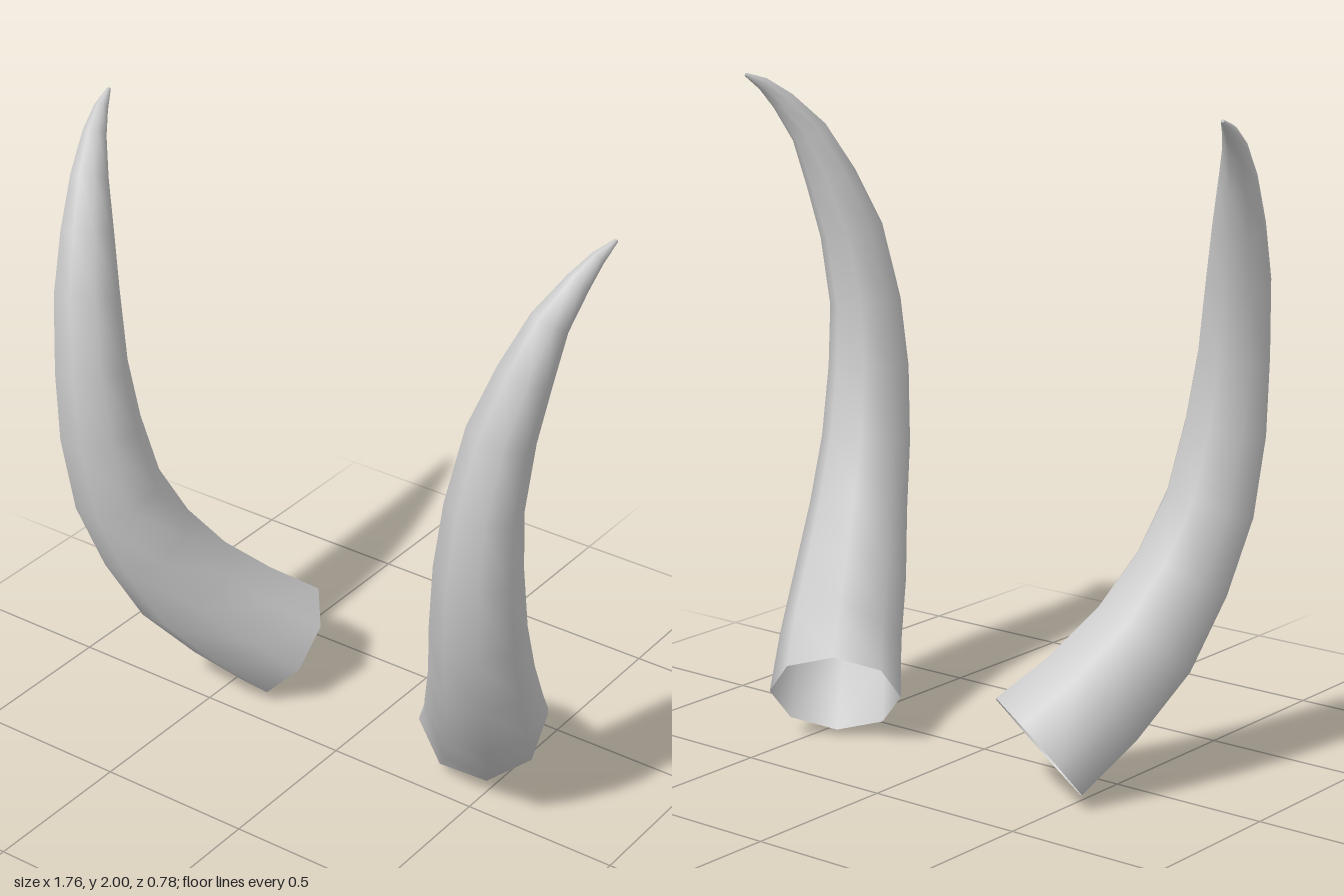
import * as THREE from 'three';

const SIDES = 8;

// Stations along one horn, root to tip: centre x, y, z and radius
const STATIONS = [
  [0.39, 0.16, -0.238, 0.2],
  [0.483, 0.29, -0.105, 0.188],
  [0.563, 0.45, 0.035, 0.175],
  [0.62, 0.635, 0.142, 0.154],
  [0.658, 0.835, 0.225, 0.14],
  [0.68, 1.06, 0.266, 0.127],
  [0.698, 1.265, 0.274, 0.112],
  [0.728, 1.49, 0.245, 0.1],
  [0.763, 1.66, 0.19, 0.081],
  [0.797, 1.805, 0.13, 0.058],
  [0.835, 1.905, 0.055, 0.037],
  [0.857, 1.96, -0.005, 0.022],
  [0.876, 1.994, -0.066, 0.006],
];

// Sweeps an octagonal ring along the stations; side = 1 (left) or -1 (right)
function hornGeometry(side) {
  const centres = STATIONS.map(([x, y, z]) => new THREE.Vector3(side * x, y, z));
  const last = centres.length - 1;
  const positions = [];
  const index = [];
  const u = new THREE.Vector3(side * 0.06, 0.12, -0.147);

  centres.forEach((centre, i) => {
    const t = centres[Math.min(i + 1, last)].clone()
      .sub(centres[Math.max(i - 1, 0)]).normalize();
    // carry the ring's reference direction along without twisting
    u.addScaledVector(t, -u.dot(t)).normalize();
    const v = t.clone().cross(u);
    for (let j = 0; j < SIDES; j++) {
      const a = (j / SIDES) * Math.PI * 2;
      const p = centre.clone()
        .addScaledVector(u, Math.cos(a) * STATIONS[i][3])
        .addScaledVector(v, Math.sin(a) * STATIONS[i][3]);
      positions.push(p.x, p.y, p.z);
    }
  });

  for (let i = 0; i < last; i++) {
    for (let j = 0; j < SIDES; j++) {
      const a = i * SIDES + j;
      const b = i * SIDES + ((j + 1) % SIDES);
      index.push(a, b, a + SIDES, b, b + SIDES, a + SIDES);
    }
  }

  // close the tip; the root stays open
  const tip = centres[last];
  positions.push(tip.x, tip.y, tip.z);
  for (let j = 0; j < SIDES; j++) {
    index.push(last * SIDES + j, last * SIDES + ((j + 1) % SIDES), (last + 1) * SIDES);
  }

  const geometry = new THREE.BufferGeometry();
  geometry.setAttribute('position', new THREE.Float32BufferAttribute(positions, 3));
  geometry.setIndex(index);
  geometry.computeVertexNormals();
  return geometry;
}

export function createModel() {
  const model = new THREE.Group();
  model.name = 'hornPair';
  const material = new THREE.MeshStandardMaterial({ color: 0xcccccc, side: THREE.DoubleSide });
  for (const side of [1, -1]) {
    const horn = new THREE.Mesh(hornGeometry(side), material);
    horn.name = side > 0 ? 'leftHorn' : 'rightHorn';
    model.add(horn);
  }
  return model;
}
